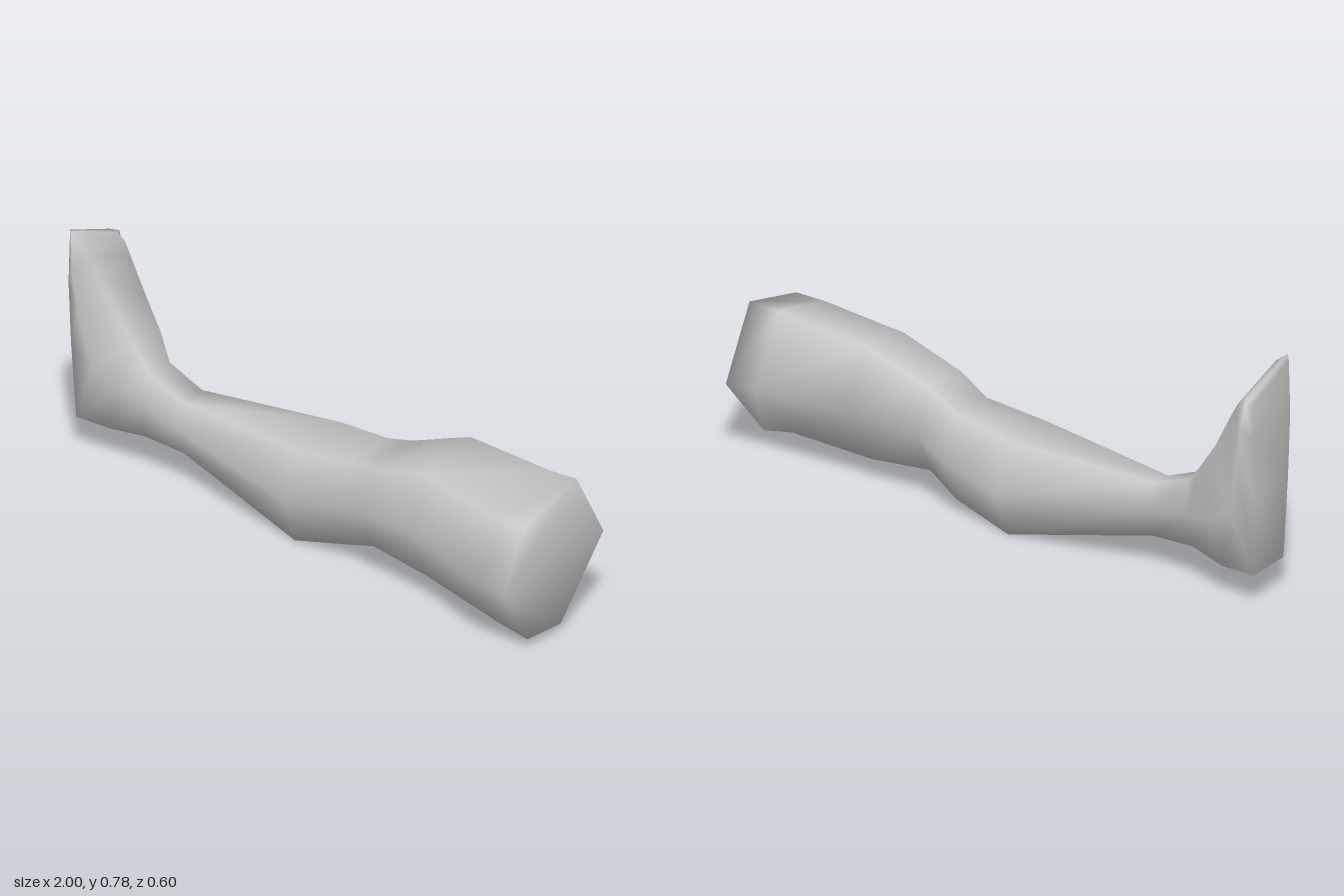
import * as THREE from 'three';

// Hexagonal cross-sections as [front-back, bottom-top] fractions
const ROUND = [[1, 0.44], [0.8, 0.85], [0.27, 1], [0, 0.51], [0.43, 0], [0.76, 0.02]];
const FOOT = [[1, 0.5], [0.85, 1], [0.15, 1], [0, 0.5], [0.1, 0], [0.9, 0]];

// xTop, xBottom, yTop, yBottom, zFront, zBack, blend to foot section, tilt
const THIGH = [
  [1, 1, 0.497, 0.025, 0.3, -0.21, 0, 0],
  [0.89, 0.89, 0.492, 0.045, 0.295, -0.215, 0, 0],
  [0.53, 0.53, 0.48, 0.08, 0.17, -0.23, 0.3, 0],
  [0.3, 0.3, 0.4, 0.105, 0.115, -0.2, 0.5, 0],
];
const SHIN = [
  [0.17, 0.17, 0.355, 0.055, 0.06, -0.235, 0.6, 0],
  [-0.05, -0.05, 0.33, 0.005, 0.065, -0.287, 0.65, 0],
  [-0.57, -0.57, 0.3, 0.115, -0.07, -0.215, 0.6, 0],
  [-0.71, -0.73, 0.35, 0.125, -0.08, -0.225, 0.8, 0],
];
// The sections swing round at the heel and run up the sole to the toes
const TOES_UP = [
  [-0.78, -0.87, 0.42, 0.11, -0.08, -0.275, 0.9, 0],
  [-0.85, -1, 0.52, 0.115, -0.075, -0.29, 1, 0],
  [-0.91, -1, 0.64, 0.38, -0.045, -0.295, 1, 0],
  [-0.935, -1, 0.71, 0.6, -0.03, -0.3, 1, 0.03],
  [-0.96, -1, 0.785, 0.785, -0.04, -0.29, 1, 0.09],
];

function loft(rings) {
  const { lerp } = THREE.MathUtils;
  const n = ROUND.length;
  const positions = [];
  const index = [];
  for (const [xt, xb, yt, yb, zf, zb, k, tilt] of rings) {
    for (let j = 0; j < n; j++) {
      const u = lerp(ROUND[j][0], FOOT[j][0], k);
      const v = lerp(ROUND[j][1], FOOT[j][1], k);
      positions.push(lerp(xb, xt, v), lerp(yb, yt, v) - tilt * (1 - u), lerp(zb, zf, u));
    }
  }
  // Side walls
  for (let i = 0; i < rings.length - 1; i++) {
    for (let j = 0; j < n; j++) {
      const a = i * n + j;
      const b = i * n + (j + 1) % n;
      index.push(a, b, a + n, b, b + n, a + n);
    }
  }
  // End caps share the wall vertices so the shading rolls over the rim
  const last = (rings.length - 1) * n;
  for (let j = 1; j < n - 1; j++) {
    index.push(0, j + 1, j, last, last + j, last + j + 1);
  }
  const geometry = new THREE.BufferGeometry();
  geometry.setAttribute('position', new THREE.Float32BufferAttribute(positions, 3));
  geometry.setIndex(index);
  geometry.computeVertexNormals();
  return geometry;
}

export function createModel() {
  const group = new THREE.Group();
  group.name = 'legModel';
  const grey = new THREE.MeshStandardMaterial({ color: 0xc8c8c8 });
  grey.name = 'light grey';

  // One seamless skin from thigh to toes
  const leg = new THREE.Mesh(loft([...THIGH, ...SHIN, ...TOES_UP]), grey);
  leg.name = 'leg';
  group.add(leg);
  return group;
}
